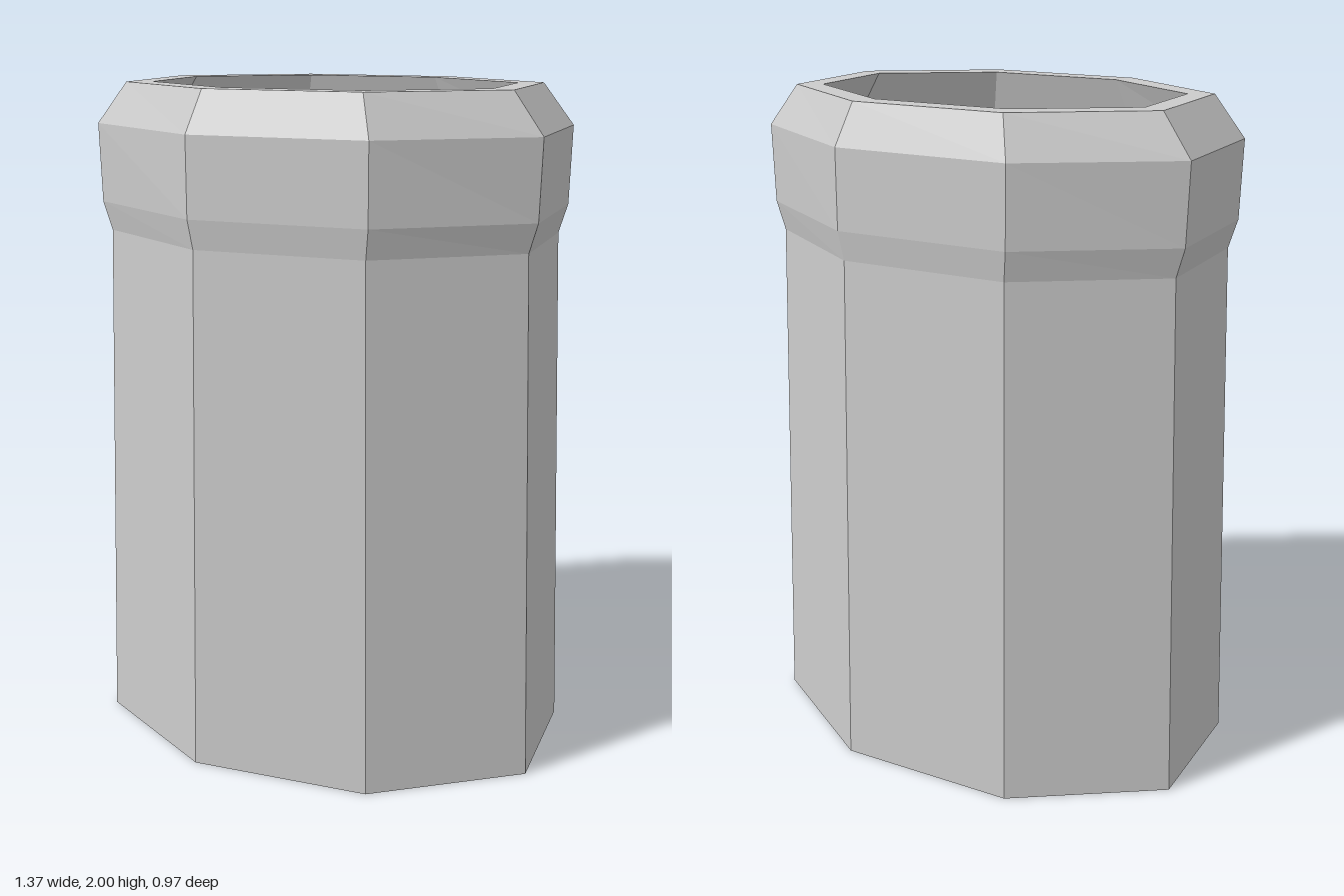
import * as THREE from 'three';

// Octagonal cross-section: half width, half depth, front corner x, side corner z
const octagon = ([y, w, d, cx, cz]) => [
  [w, cz], [cx, d], [-cx, d], [-w, cz], [-w, -cz], [-cx, -d], [cx, -d], [w, -cz],
].map(([x, z]) => new THREE.Vector3(x, y, z));

// Outer wall sections from the foot to the rim
const OUTER = [
  [0, 0.685, 0.486, 0.272, 0.212],
  [1.565, 0.635, 0.452, 0.252, 0.2],
  [1.65, 0.66, 0.464, 0.262, 0.205],
  [1.88, 0.666, 0.462, 0.262, 0.205],
  [2, 0.577, 0.417, 0.23, 0.188],
];
const WALL = 0.067;

// Skin a closed loop of sections with quads
function skin(sections) {
  const rings = sections.map(octagon);
  const pos = [];
  const put = (...pts) => pts.forEach((p) => pos.push(p.x, p.y, p.z));
  rings.forEach((lower, i) => {
    const upper = rings[(i + 1) % rings.length];
    for (let k = 0; k < 8; k++) {
      const n = (k + 1) % 8;
      put(lower[k], upper[k], upper[n], lower[k], upper[n], lower[n]);
    }
  });
  const geo = new THREE.BufferGeometry();
  geo.setAttribute('position', new THREE.Float32BufferAttribute(pos, 3));
  geo.computeVertexNormals();
  return geo;
}

export function createModel() {
  const group = new THREE.Group();
  group.name = 'octagonalPot';

  // Inner wall follows the outer one at a constant thickness, back down to the foot
  const inner = OUTER.map(([y, w, d, cx, cz]) => [
    y === 1.88 ? 1.865 : y, w - WALL, d - WALL, cx - 0.027, cz - 0.037,
  ]).reverse();

  const shell = new THREE.Mesh(
    skin([...OUTER, ...inner]),
    new THREE.MeshStandardMaterial({ color: 0xcccccc, flatShading: true }),
  );
  shell.name = 'hollowShell';
  group.add(shell);
  return group;
}
